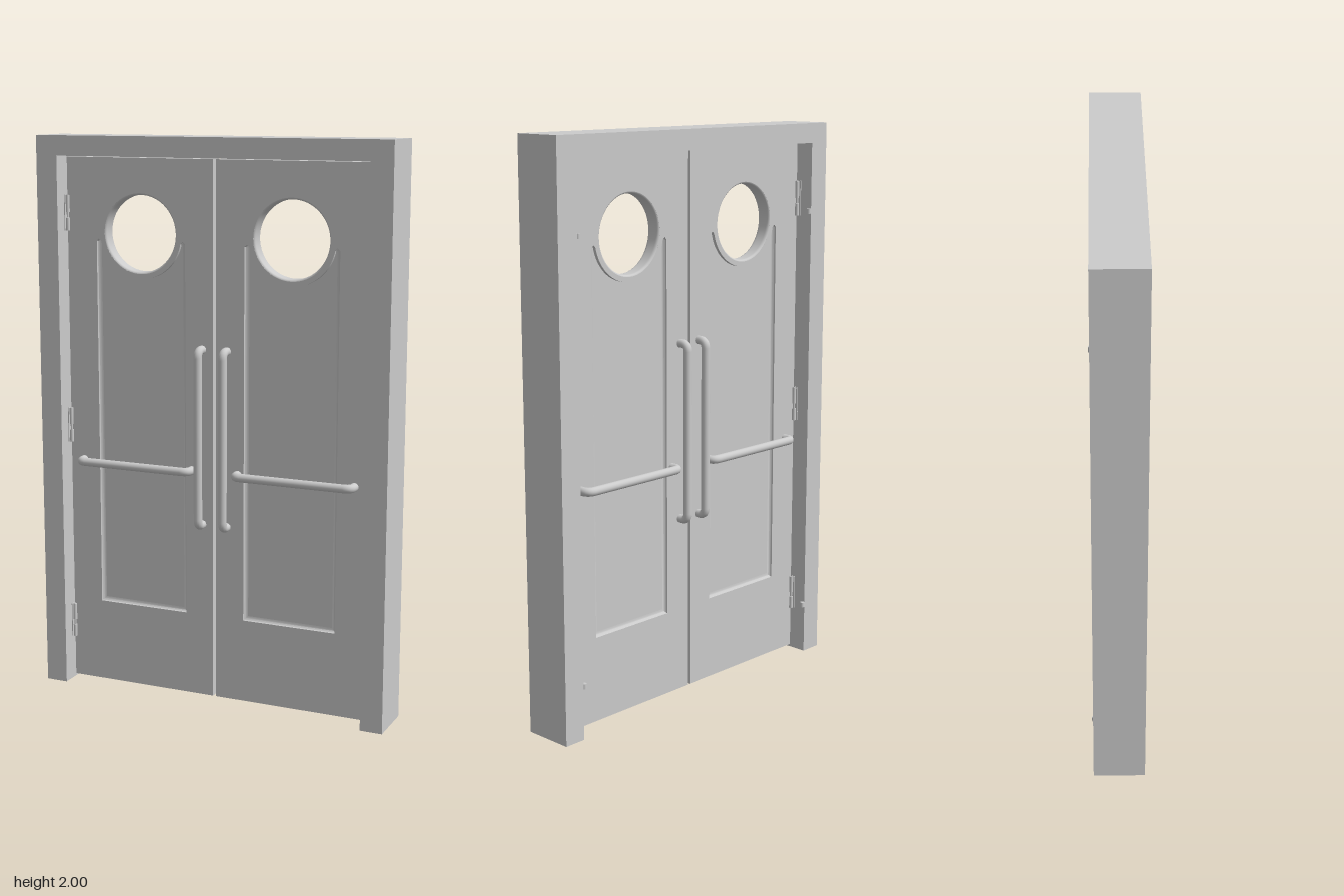
import * as THREE from 'three';
import { toCreasedNormals } from 'three/addons/utils/BufferGeometryUtils.js';

const grey = new THREE.MeshStandardMaterial({ color: 0xcccccc });
const greyOpen = new THREE.MeshStandardMaterial({ color: 0xcccccc, side: THREE.DoubleSide });

const WIN_Y = 1.664, HOLE_R = 0.14;      // round window
const FACE_Z = 0.026, FLOOR_Z = 0.014;   // door face and recess floor
const DOOR_X = 0.283;                    // centre line of window and panel

function add(parent, name, geometry, x = 0, y = 0, z = 0, material = grey) {
  const mesh = new THREE.Mesh(geometry, material);
  mesh.name = name;
  mesh.position.set(x, y, z);
  parent.add(mesh);
  return mesh;
}

function extrude(shape, depth) {
  const g = new THREE.ExtrudeGeometry(shape, { depth, bevelEnabled: false, curveSegments: 64 });
  return toCreasedNormals(g, 0.5);
}

// Recessed panel outline: a tall rectangle with a circular bite out of its top; k insets it
function panelOutline(k) {
  const half = 0.172 - 0.014 * k, bottom = 0.312 + 0.015 * k, top = 1.634 - 0.006 * k;
  const r = 0.157, a = Math.asin((top - WIN_Y) / r), xc = r * Math.cos(a);
  const tip = [(half + xc) / 2, top + 0.008];
  const pts = [[-half, bottom], [half, bottom], [half, top], tip];
  for (let i = 0; i <= 48; i++) {
    const t = a + (-Math.PI - 2 * a) * (i / 48);
    pts.push([r * Math.cos(t), WIN_Y + r * Math.sin(t)]);
  }
  pts.push([-tip[0], tip[1]], [-half, top]);
  return pts.map(([x, y]) => new THREE.Vector2(x, y));
}

// Concave moulding running from the door face down to the recess floor
function coveGeometry() {
  const steps = 5, rings = [], pos = [];
  for (let i = 0; i <= steps; i++) {
    const t = (i / steps) * Math.PI / 2;
    const z = FACE_Z - (FACE_Z - FLOOR_Z - 0.0003) * Math.sin(t);
    rings.push(panelOutline(1 - Math.cos(t)).map(p => [p.x, p.y, z]));
  }
  for (let i = 0; i < steps; i++) {
    const n = rings[i].length;
    for (let j = 0; j < n; j++) {
      const a = rings[i][j], b = rings[i][(j + 1) % n];
      const c = rings[i + 1][(j + 1) % n], d = rings[i + 1][j];
      pos.push(...a, ...b, ...c, ...a, ...c, ...d);
    }
  }
  const g = new THREE.BufferGeometry();
  g.setAttribute('position', new THREE.Float32BufferAttribute(pos, 3));
  return toCreasedNormals(g, 0.6);
}

// Door outline with the window hole; s flips it for the back face
function doorShape(s) {
  const x0 = s > 0 ? -0.277 : -0.287, x1 = x0 + 0.564, y0 = 0.012, y1 = 1.925;
  const shape = new THREE.Shape([[x0, y0], [x1, y0], [x1, y1], [x0, y1]].map(p => new THREE.Vector2(...p)));
  shape.holes.push(new THREE.Path().absarc(0, WIN_Y, HOLE_R, 0, Math.PI * 2, true));
  return shape;
}

// Bar along y with both ends bent back into the door
function barGeometry(length) {
  const r = 0.015, h = length / 2 - r, b = 0.025, z0 = FACE_Z - 0.004, z1 = 0.064;
  const v = (y, z) => new THREE.Vector3(0, y, z);
  const path = new THREE.CurvePath();
  path.add(new THREE.LineCurve3(v(-h, z0), v(-h, z1 - b)));
  path.add(new THREE.QuadraticBezierCurve3(v(-h, z1 - b), v(-h, z1), v(-h + b, z1)));
  path.add(new THREE.LineCurve3(v(-h + b, z1), v(h - b, z1)));
  path.add(new THREE.QuadraticBezierCurve3(v(h - b, z1), v(h, z1), v(h, z1 - b)));
  path.add(new THREE.LineCurve3(v(h, z1 - b), v(h, z0)));
  return new THREE.TubeGeometry(path, 120, r, 16, false);
}

// One side of a door: skin, moulding, handles and hinges
function doorFace(s) {
  const face = new THREE.Group();
  face.name = s > 0 ? 'doorFrontFace' : 'doorBackFace';
  if (s < 0) face.rotation.y = Math.PI;

  const skin = doorShape(s);
  skin.holes.push(new THREE.Path(panelOutline(0).reverse()));
  add(face, 'doorSkin', extrude(skin, FACE_Z - FLOOR_Z), 0, 0, FLOOR_Z);
  add(face, 'panelMoulding', coveGeometry(), 0, 0, 0, greyOpen);

  add(face, 'pullHandle', barGeometry(0.655), s * (0.047 - DOOR_X), 0.96, 0);
  add(face, 'pushBar', barGeometry(0.46).rotateZ(Math.PI / 2), s * (0.303 - DOOR_X), 0.84, 0);

  for (const y of [1.73, 0.966, 0.226]) {
    const x = s * (0.5665 - DOOR_X);
    for (const [dy, h] of [[0.031, 0.06], [-0.041, 0.045]])
      add(face, 'hingeKnuckle', new THREE.CylinderGeometry(0.007, 0.007, h, 16), x, y + dy, 0.031);
    add(face, 'hingePin', new THREE.CylinderGeometry(0.004, 0.004, 0.125, 12), x, y, 0.031);
    add(face, 'hingeLeaf', new THREE.BoxGeometry(0.003, 0.125, 0.016), s * (0.5735 - DOOR_X), y, 0.034);
  }
  return face;
}

function door(name) {
  const g = new THREE.Group();
  g.name = name;
  add(g, 'doorCore', extrude(doorShape(1), FLOOR_Z * 2), 0, 0, -FLOOR_Z);
  g.add(doorFace(1), doorFace(-1));

  // Window lining with rounded rims
  const half = [[0.1415, 0.026], [0.1385, 0.0255], [0.1355, 0.023], [0.134, 0.019], [0.1335, 0.014]];
  const profile = [...half, ...half.map(([r, z]) => [r, -z]).reverse()].map(p => new THREE.Vector2(...p));
  const lining = new THREE.LatheGeometry(profile, 64).rotateX(Math.PI / 2);
  add(g, 'windowLining', lining, 0, WIN_Y, 0, greyOpen);
  return g;
}

export function createModel() {
  const model = new THREE.Group();
  model.name = 'doubleDoor';

  // Door frame: two jambs and a head, open at the floor
  const outline = [[-0.655, 0], [-0.575, 0], [-0.575, 1.93], [0.575, 1.93],
    [0.575, 0], [0.655, 0], [0.655, 2], [-0.655, 2]].map(p => new THREE.Vector2(...p));
  add(model, 'doorFrame', extrude(new THREE.Shape(outline), 0.18), 0, 0, -0.09);

  // The doors are alike front and back, so a half turn gives the mirrored one
  const left = door('leftDoor'), right = door('rightDoor');
  left.position.x = DOOR_X;
  right.position.x = -DOOR_X;
  right.rotation.y = Math.PI;
  model.add(left, right);

  // Small studs on the jambs at the back
  for (const x of [-0.567, 0.567])
    for (const y of [1.686, 0.188])
      add(model, 'jambStud', new THREE.CylinderGeometry(0.008, 0.008, 0.018, 16), x, y, -0.086);

  return model;
}
